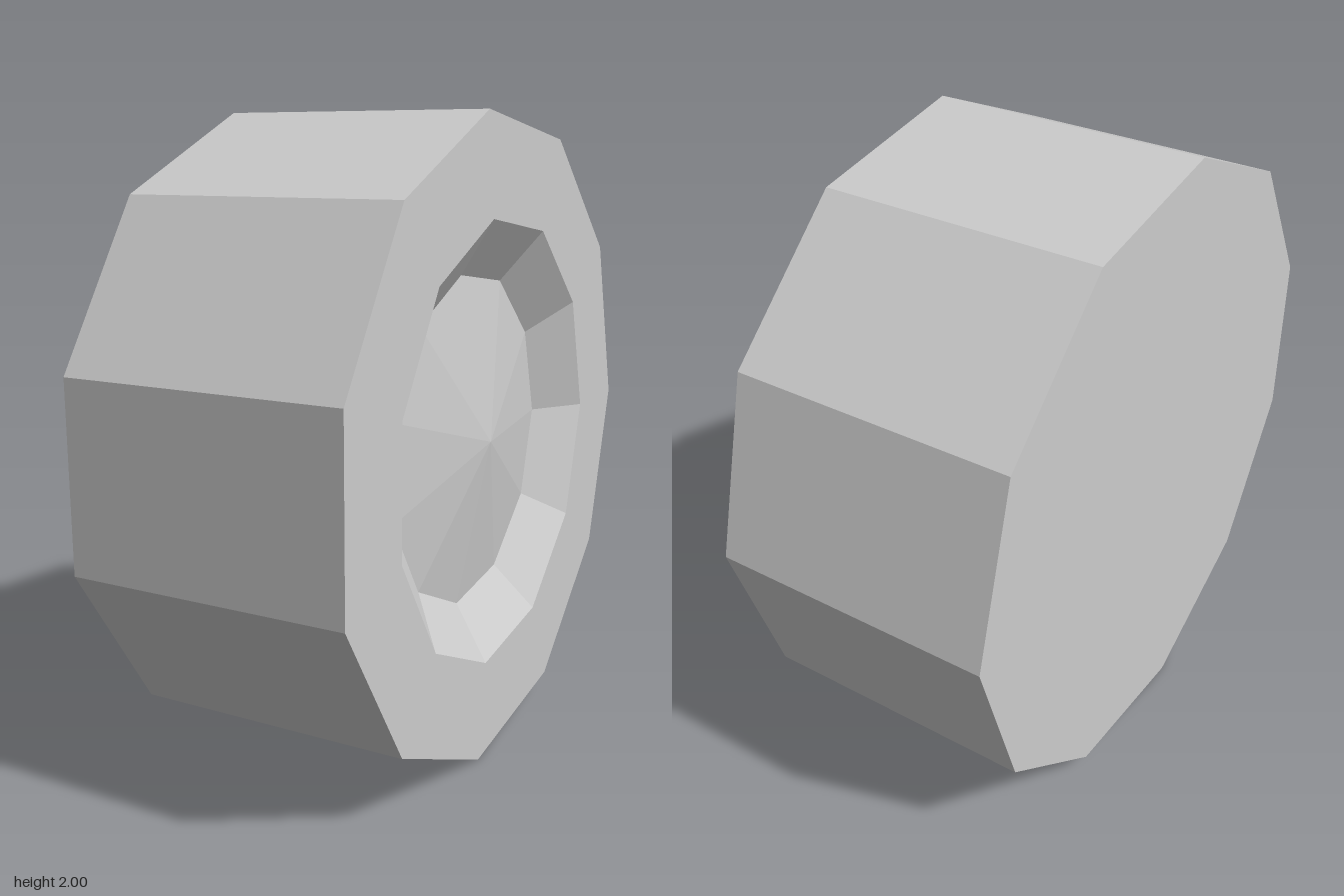
import * as THREE from 'three';

const SIDES = 11;
const RADIUS = 1.01;
const HALF_WIDTH = 0.44;
const RIM_RADIUS = 0.697;
const HUB_RADIUS = 0.525;
const HUB_X = 0.325; // depth of the recessed hub's edge
const HUB_TIP_X = 0.4; // slightly raised hub centre

// Faceted ring swept about the x axis; profile points are [radius, x]
function sweep(name, profile, material) {
  const points = profile.map(([r, x]) => new THREE.Vector2(r, x));
  const geometry = new THREE.LatheGeometry(points, SIDES, Math.PI).toNonIndexed();
  geometry.rotateZ(-Math.PI / 2);
  geometry.computeVertexNormals(); // one normal per facet
  const mesh = new THREE.Mesh(geometry, material);
  mesh.name = name;
  return mesh;
}

export function createModel() {
  const grey = new THREE.MeshStandardMaterial({ color: 0xcccccc });
  grey.name = 'lightGrey';

  const wheel = new THREE.Group();
  wheel.name = 'wheel';
  wheel.add(
    // Closed inner side, tread and outer sidewall
    sweep('tyre', [
      [0, -HALF_WIDTH],
      [RADIUS, -HALF_WIDTH],
      [RADIUS, HALF_WIDTH],
      [RIM_RADIUS, HALF_WIDTH],
    ], grey),
    // Sloping wall of the recess
    sweep('rim', [[RIM_RADIUS, HALF_WIDTH], [HUB_RADIUS, HUB_X]], grey),
    // Shallow cone filling the recess
    sweep('hubcap', [[HUB_RADIUS, HUB_X], [0, HUB_TIP_X]], grey),
  );

  // The odd-sided wheel sits a little forward so its bounds are centred
  wheel.position.set(0, 1, 0.02);

  const model = new THREE.Group();
  model.name = 'wheelModel';
  model.add(wheel);
  return model;
}
